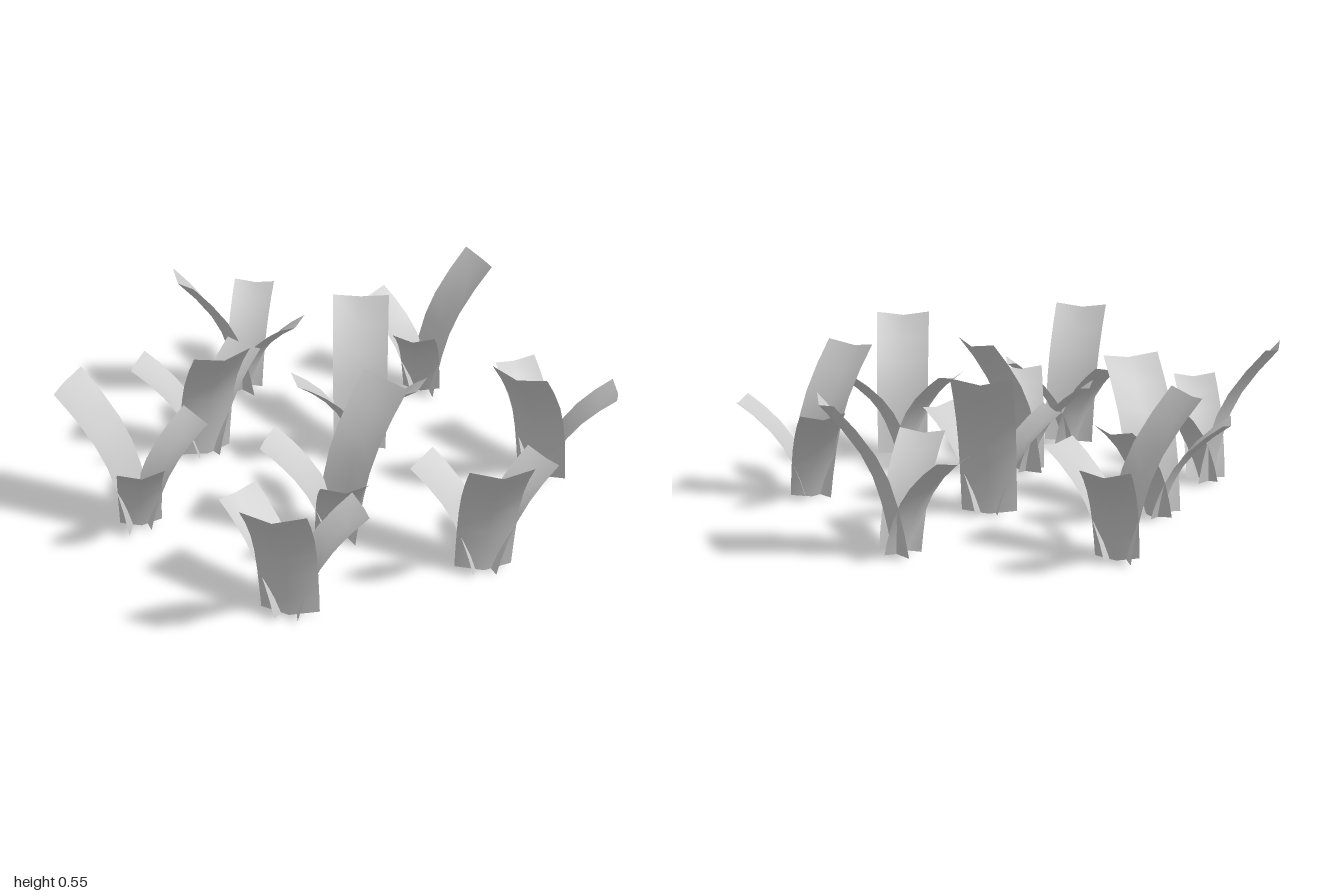
import * as THREE from 'three';

const material = new THREE.MeshStandardMaterial({ color: 0xcccccc, side: THREE.DoubleSide });

// A cupped blade arching out along +x: rows follow the profile, three points across.
function bladeGeometry(profile, baseWidth, tipWidth, cup, rows = 6) {
  const curve = new THREE.SplineCurve(profile.map(([r, y]) => new THREE.Vector2(r, y)));
  const positions = [];
  const index = [];
  for (let i = 0; i <= rows; i++) {
    const t = i / rows;
    const p = curve.getPoint(t);
    const tangent = curve.getTangent(t);
    const half = THREE.MathUtils.lerp(baseWidth, tipWidth, t) / 2;
    for (const side of [-1, 0, 1]) {
      // the midrib is pushed outward and down, along the blade's normal
      const push = side === 0 ? cup : 0;
      positions.push(p.x + tangent.y * push, p.y - tangent.x * push, side * half);
    }
    if (i === rows) continue;
    for (let j = 0; j < 2; j++) {
      const a = i * 3 + j;
      index.push(a, a + 3, a + 1, a + 1, a + 3, a + 4);
    }
  }
  const geometry = new THREE.BufferGeometry();
  geometry.setAttribute('position', new THREE.Float32BufferAttribute(positions, 3));
  geometry.setIndex(index);
  geometry.computeVertexNormals();
  return geometry;
}

export function createModel() {
  const group = new THREE.Group();
  group.name = 'grassPatch';

  const tall = bladeGeometry(
    [[0, 0.015], [0.025, 0.15], [0.065, 0.29], [0.135, 0.42], [0.245, 0.555]], 0.2, 0.214, 0.028);
  const short = bladeGeometry(
    [[0, 0.015], [0.03, 0.11], [0.08, 0.21], [0.155, 0.3], [0.25, 0.375]], 0.15, 0.165, 0.022);

  // Blades of one clump: geometry, name, angle from the tall blade
  const blades = [
    [tall, 'tallBlade', 0],
    [short, 'shortBladeA', 126],
    [short, 'shortBladeB', -119],
  ];

  // Clumps: x, z, heading of the tall blade in degrees from +x towards +z
  const clumps = [
    [0.24, 0.285, -90],
    [0.73, 0.045, 38],
    [0.475, -0.565, 75],
    [-0.29, -0.705, -71],
    [-0.805, -0.19, 107],
    [-0.12, -0.185, -135],
    [-0.53, 0.25, 20],
    [-0.31, 0.735, 152],
    [0.455, 0.7, 53],
  ];

  clumps.forEach(([x, z, heading], i) => {
    const clump = new THREE.Group();
    clump.name = `grassClump${i + 1}`;
    clump.position.set(x, 0, z);
    clump.rotation.y = -THREE.MathUtils.degToRad(heading);
    for (const [geometry, name, angle] of blades) {
      const blade = new THREE.Mesh(geometry, material);
      blade.name = name;
      blade.rotation.y = -THREE.MathUtils.degToRad(angle);
      clump.add(blade);
    }
    group.add(clump);
  });
  return group;
}
